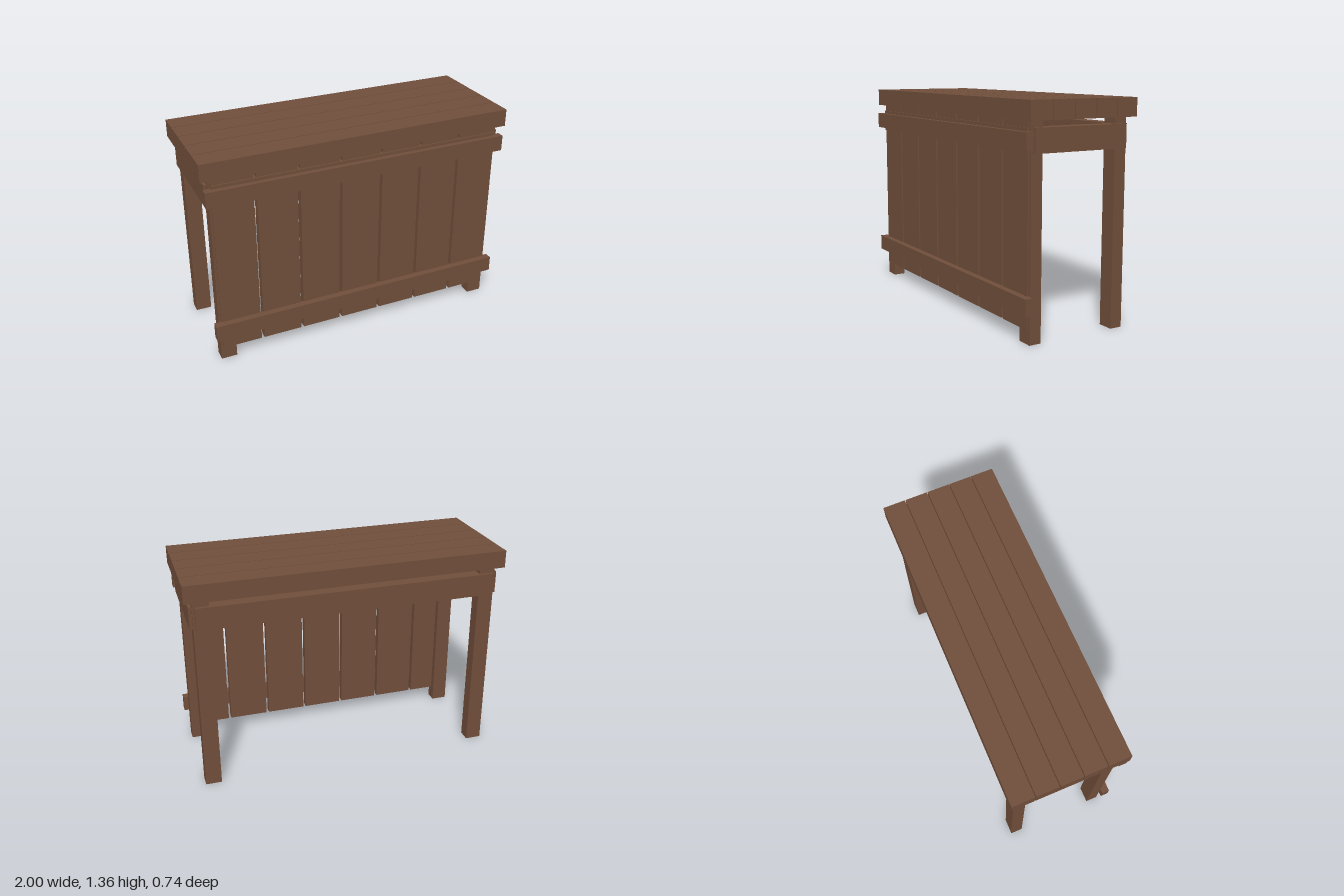
import * as THREE from 'three';

export function createModel() {
  const model = new THREE.Group();
  const wood = new THREE.MeshStandardMaterial({ color: 0x704e3a });
  wood.name = 'brown wood';

  // A board given by its extents along each axis
  function board(name, [x0, x1], [y0, y1], [z0, z1]) {
    const mesh = new THREE.Mesh(new THREE.BoxGeometry(x1 - x0, y1 - y0, z1 - z0), wood);
    mesh.position.set((x0 + x1) / 2, (y0 + y1) / 2, (z0 + z1) / 2);
    mesh.name = name;
    model.add(mesh);
  }

  // Counter top: five long planks with narrow gaps
  for (let i = 0; i < 5; i++) {
    const z = -0.296 + i * 0.1457;
    board('topPlank' + (i + 1), [-1, 1], [1.25, 1.36], [z - 0.07, z + 0.07]);
  }

  // Legs and side aprons, mirrored left and right
  for (const [side, s] of [['left', 1], ['right', -1]]) {
    const span = (a, b) => [Math.min(a * s, b * s), Math.max(a * s, b * s)];
    board(side + 'FrontLeg', span(0.85, 0.95), [0, 1.25], [0.247, 0.322]);
    board(side + 'BackLeg', span(0.85, 0.95), [0, 1.25], [-0.33, -0.252]);
    board(side + 'Apron', span(0.88, 0.97), [1.07, 1.21], [-0.318, 0.308]);
  }

  // Long aprons
  board('frontApron', [-0.935, 0.935], [1.07, 1.21], [0.249, 0.339]);
  board('backApron', [-0.935, 0.935], [1.07, 1.21], [-0.348, -0.258]);

  // Front panel: seven upright planks
  for (let i = 0; i < 7; i++) {
    const x = (i - 3) * 0.27;
    board('panelPlank' + (i + 1), [x - 0.126, x + 0.126], [0.085, 1.25], [0.285, 0.33]);
  }

  // Horizontal battens across the front panel
  board('lowerBatten', [-0.98, 0.98], [0.18, 0.28], [0.322, 0.371]);
  board('upperBatten', [-0.98, 0.98], [1.09, 1.19], [0.322, 0.371]);

  return model;
}
